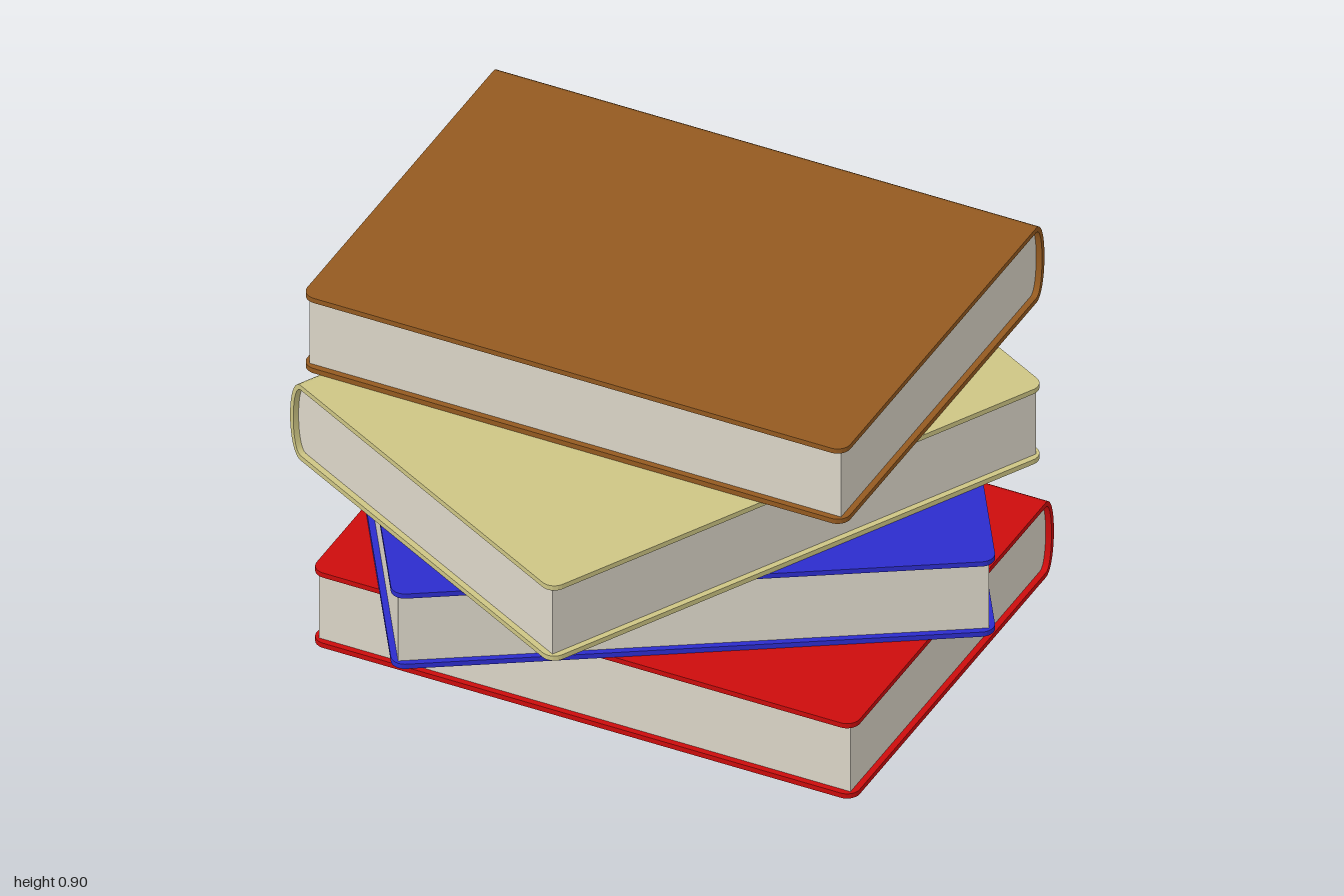
import * as THREE from 'three';
import { toCreasedNormals } from 'three/addons/utils/BufferGeometryUtils.js';

const LENGTH = 1.485, HEIGHT = 0.225, BOARD = 0.014; // size along the spine, thickness, cover board
const HINGE = -0.505, FORE = 0.55;                   // cover runs from hinge to fore edge
const SPINE_CTRL = -0.564;                           // pulls the spine curve out to x = -0.55
const INSET = 0.016;                                 // pages sit back from the cover edge

function material(name, color) {
  const m = new THREE.MeshStandardMaterial({ color });
  m.name = name;
  return m;
}

// Extrudes an x-y profile along z, centred, with smooth curves and sharp edges
function extrudeCentred(shape, depth) {
  const geo = new THREE.ExtrudeGeometry(shape, { depth, bevelEnabled: false, curveSegments: 20 });
  geo.translate(0, 0, -depth / 2);
  return toCreasedNormals(geo, 0.6);
}

// Flat board with rounded corners at the fore edge
function boardGeometry() {
  const h = LENGTH / 2, r = 0.035;
  const s = new THREE.Shape();
  s.moveTo(HINGE, -h);
  s.lineTo(FORE - r, -h);
  s.absarc(FORE - r, -h + r, r, -Math.PI / 2, 0, false);
  s.absarc(FORE - r, h - r, r, 0, Math.PI / 2, false);
  s.lineTo(HINGE, h);
  s.closePath();
  return extrudeCentred(s, BOARD).rotateX(Math.PI / 2);
}

// Bulging strip that joins the two boards
function spineGeometry() {
  const o = HEIGHT / 2, i = o - BOARD, t = 0.018;
  const s = new THREE.Shape();
  s.moveTo(HINGE, o);
  s.bezierCurveTo(SPINE_CTRL, o, SPINE_CTRL, -o, HINGE, -o);
  s.lineTo(HINGE, -i);
  s.bezierCurveTo(SPINE_CTRL + t, -i, SPINE_CTRL + t, i, HINGE, i);
  s.closePath();
  return extrudeCentred(s, LENGTH);
}

// Page block, rounded where it meets the spine
function pagesGeometry() {
  const i = HEIGHT / 2 - BOARD, t = 0.018;
  const s = new THREE.Shape();
  s.moveTo(HINGE, i);
  s.bezierCurveTo(SPINE_CTRL + t, i, SPINE_CTRL + t, -i, HINGE, -i);
  s.lineTo(FORE - INSET, -i);
  s.lineTo(FORE - INSET, i);
  s.closePath();
  return extrudeCentred(s, LENGTH - 2 * INSET);
}

export function createModel() {
  const group = new THREE.Group();
  group.name = 'bookStack';

  const paper = material('paper', 0xdcd6c8);
  const board = boardGeometry(), spine = spineGeometry(), pages = pagesGeometry();

  // Books from the bottom up
  const books = [
    { name: 'redBook', color: 0xcc0c0c, x: 0.09, z: 0.01, turn: -62 },
    { name: 'blueBook', color: 0x2c2ccc, x: 0.05, z: 0.01, turn: -30 },
    { name: 'khakiBook', color: 0xcdc584, x: 0.07, z: 0.04, turn: 0 },
    { name: 'brownBook', color: 0x945a20, x: -0.09, z: -0.09, turn: -62 },
  ];

  books.forEach(({ name, color, x, z, turn }, n) => {
    const cover = material(name + 'Cover', color);
    const book = new THREE.Group();
    book.name = name;
    const add = (part, geo, mat, y = 0) => {
      const mesh = new THREE.Mesh(geo, mat);
      mesh.name = part;
      mesh.position.y = y;
      book.add(mesh);
    };
    add('frontCover', board, cover, (HEIGHT - BOARD) / 2);
    add('backCover', board, cover, -(HEIGHT - BOARD) / 2);
    add('spine', spine, cover);
    add('pages', pages, paper);
    book.position.set(x, HEIGHT / 2 + n * (HEIGHT + 0.0015), z);
    book.rotation.y = THREE.MathUtils.degToRad(turn);
    group.add(book);
  });

  return group;
}
